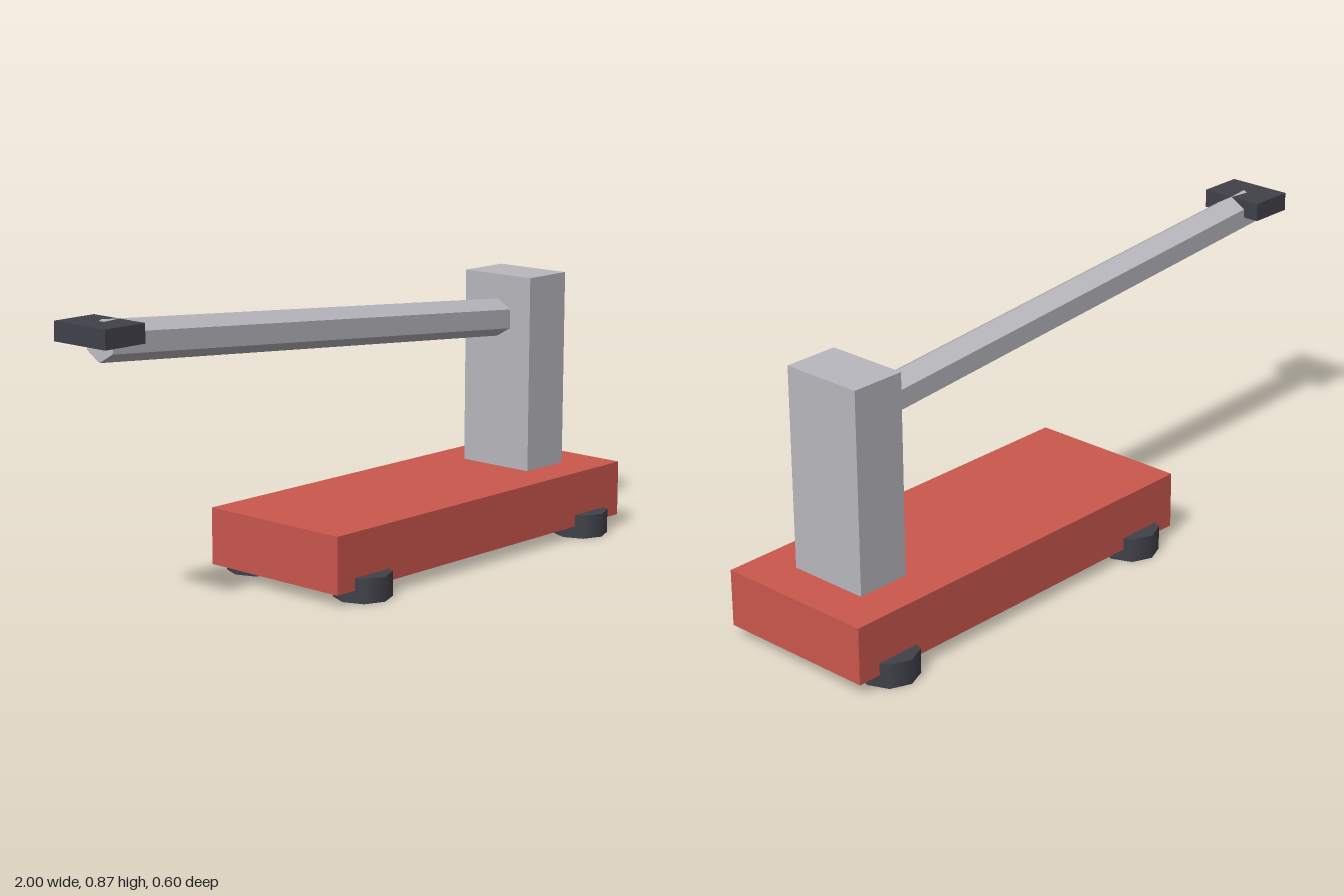
import * as THREE from 'three';

export function createModel() {
  const model = new THREE.Group();
  model.name = 'pushCart';

  const material = (name, color, extra = {}) => {
    const m = new THREE.MeshStandardMaterial({ color, ...extra });
    m.name = name;
    return m;
  };
  const red = material('red', 0xcb574d);
  const grey = material('lightGrey', 0xb8b8be, { flatShading: true });
  const dark = material('charcoal', 0x41414a, { side: THREE.DoubleSide });

  const add = (parent, name, geometry, mat, x, y, z) => {
    const mesh = new THREE.Mesh(geometry, mat);
    mesh.name = name;
    mesh.position.set(x, y, z);
    parent.add(mesh);
    return mesh;
  };

  // Box given by its lower and upper limits, centred on z = 0
  const box = (name, mat, x0, x1, y0, y1, depth) =>
    add(model, name, new THREE.BoxGeometry(x1 - x0, y1 - y0, depth), mat,
      (x0 + x1) / 2, (y0 + y1) / 2, 0);

  box('platform', red, -0.287, 1, 0.037, 0.207, 0.5);
  box('post', grey, 0.7, 0.87, 0.207, 0.808, 0.255);
  box('grip', dark, -1, -0.86, 0.81, 0.865, 0.2);

  // Sloping six-sided arm, one ridge on top, running into the post
  const start = new THREE.Vector3(-0.928, 0.813, 0);
  const end = new THREE.Vector3(0.76, 0.669, 0);
  const along = end.clone().sub(start);
  const bar = new THREE.CylinderGeometry(0.058, 0.058, along.length(), 6);
  bar.rotateY(Math.PI / 2); // ridge toward the x axis
  const middle = start.clone().add(end).multiplyScalar(0.5);
  const arm = add(model, 'arm', bar, grey, middle.x, middle.y, 0);
  arm.quaternion.setFromUnitVectors(new THREE.Vector3(0, 1, 0), along.normalize());

  // Four hollow octagonal feet, closed on top and open below
  const radius = 0.085, height = 0.073;
  const wall = new THREE.CylinderGeometry(radius, radius, height, 8, 1, true);
  const lid = new THREE.CircleGeometry(radius, 8).rotateX(-Math.PI / 2);
  for (const x of [-0.144, 0.856]) {
    for (const z of [-0.215, 0.215]) {
      const foot = new THREE.Group();
      foot.name = (z > 0 ? 'front' : 'back') + (x > 0 ? 'Left' : 'Right') + 'Foot';
      foot.position.set(x, 0, z);
      add(foot, 'footWall', wall, dark, 0, height / 2, 0);
      add(foot, 'footLid', lid, dark, 0, height, 0);
      model.add(foot);
    }
  }

  return model;
}
